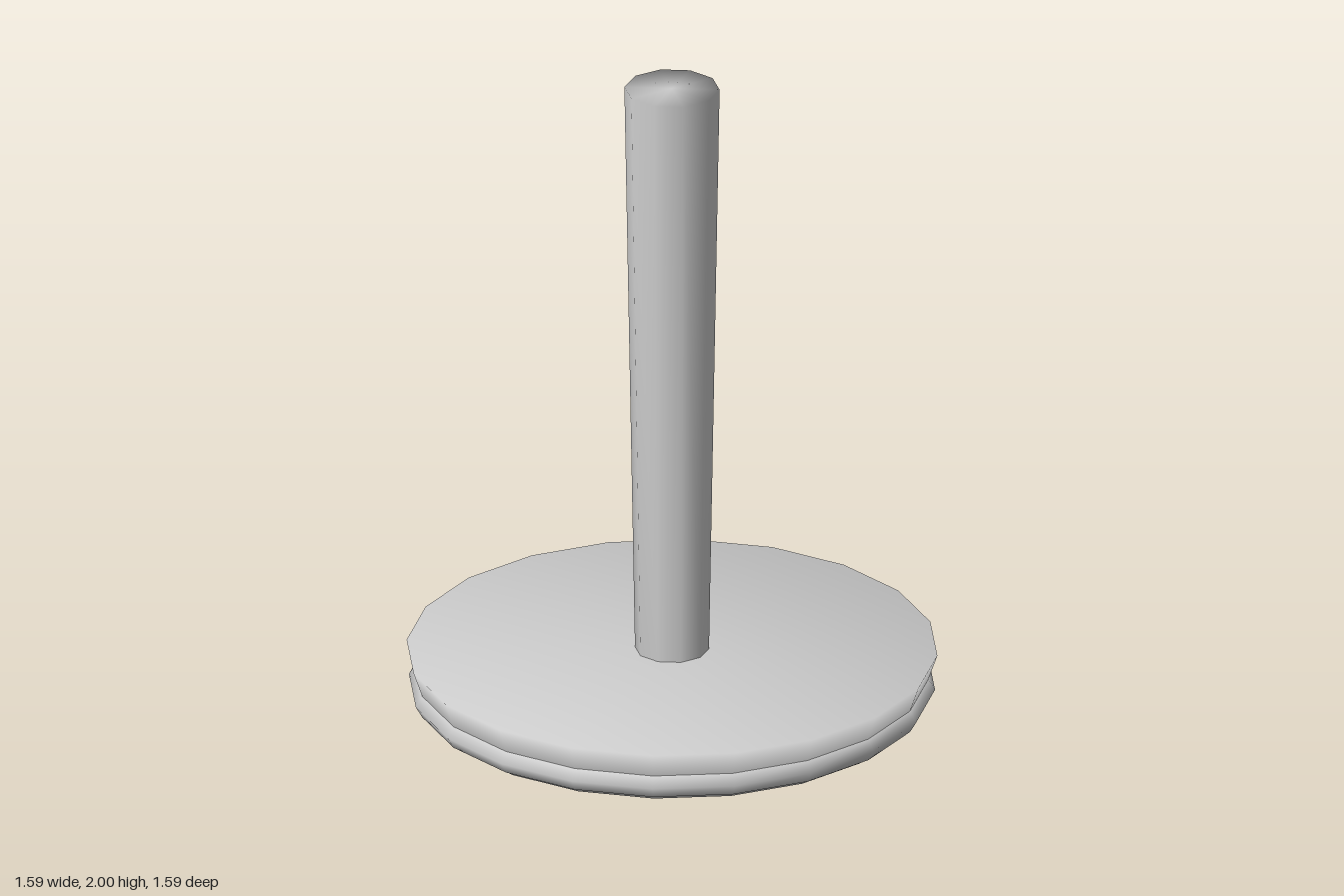
import * as THREE from 'three';
import { mergeVertices } from 'three/addons/utils/BufferGeometryUtils.js';

const grey = new THREE.MeshStandardMaterial({ color: 0xcccccc });
grey.name = 'grey';

// Turned solid whose normals blend softly across every edge, caps included
function turned(name, profile, sides) {
  const points = profile.map(([r, y]) => new THREE.Vector2(r, y));
  let geometry = new THREE.LatheGeometry(points, sides);
  geometry.deleteAttribute('uv');
  geometry.deleteAttribute('normal');
  geometry = mergeVertices(geometry, 1e-4);
  geometry.computeVertexNormals();
  const mesh = new THREE.Mesh(geometry, grey);
  mesh.name = name;
  return mesh;
}

export function createModel() {
  const model = new THREE.Group();
  model.name = 'stand';

  // Round base plate, flaring towards the top
  model.add(turned('basePlate', [[0, 0], [0.74, 0], [0.797, 0.165], [0, 0.165]], 20));

  // Six-sided ring around the lower edge of the plate
  const ring = new THREE.Mesh(new THREE.TorusGeometry(0.75, 0.04, 6, 20), grey);
  ring.name = 'baseRing';
  ring.rotation.x = -Math.PI / 2;
  ring.position.y = 0.053;
  model.add(ring);

  // Post widening towards its flat top
  model.add(turned('post', [[0, 0.1], [0.11, 0.1], [0.143, 2], [0, 2]], 10));

  return model;
}
